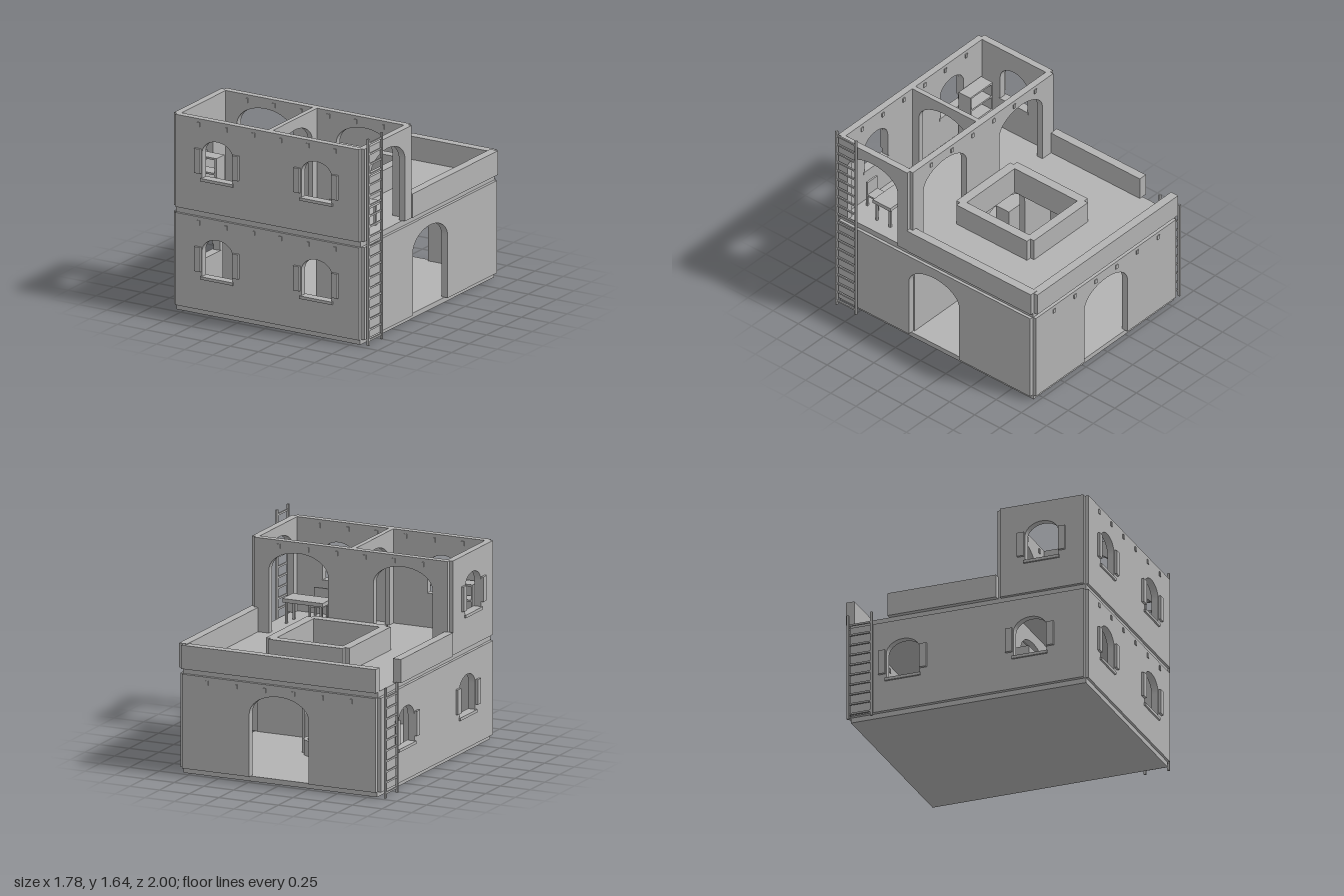
import * as THREE from 'three';

export function createModel() {
  const model = new THREE.Group();
  model.name = 'courtyardHouse';
  const plaster = new THREE.MeshStandardMaterial({ color: 0xb2b2b2 });
  plaster.name = 'plaster grey';

  const add = (name, geo, parent = model) => {
    const m = new THREE.Mesh(geo, plaster);
    m.name = name;
    parent.add(m);
    return m;
  };
  // Box given by its extents
  const box = (name, x0, x1, y0, y1, z0, z1, parent) => {
    const m = add(name, new THREE.BoxGeometry(x1 - x0, y1 - y0, z1 - z0), parent);
    m.position.set((x0 + x1) / 2, (y0 + y1) / 2, (z0 + z1) / 2);
    return m;
  };
  const group = (name) => {
    const g = new THREE.Group();
    g.name = name;
    model.add(g);
    return g;
  };

  // Wall along x or z, from depth d0 to d1, with arched doors (notches) and windows (holes).
  // Doors and windows are listed by their centre along the wall.
  const H = 0.735, DOOR = 0.25, WIN = 0.135;
  function wall(name, axis, u0, u1, y0, d0, d1, doors = [], windows = [], h = H) {
    const s = new THREE.Shape();
    s.moveTo(u0, y0);
    for (const c of doors) {
      s.lineTo(c - DOOR, y0);
      s.lineTo(c - DOOR, y0 + 0.49);
      s.absellipse(c, y0 + 0.49, DOOR, 0.16, Math.PI, 0, true);
      s.lineTo(c + DOOR, y0);
    }
    s.lineTo(u1, y0);
    s.lineTo(u1, y0 + h);
    s.lineTo(u0, y0 + h);
    s.closePath();
    for (const c of windows) {
      const p = new THREE.Path();
      p.moveTo(c - WIN, y0 + 0.265);
      p.lineTo(c + WIN, y0 + 0.265);
      p.lineTo(c + WIN, y0 + 0.47);
      p.absellipse(c, y0 + 0.47, WIN, 0.105, 0, Math.PI, false);
      p.closePath();
      s.holes.push(p);
    }
    const g = new THREE.ExtrudeGeometry(s, { depth: d1 - d0, bevelEnabled: false, curveSegments: 14 });
    if (axis === 'x') g.translate(0, 0, d0);
    else g.rotateY(-Math.PI / 2).translate(d1, 0, 0);
    add(name, g);
  }

  // Shutters and sill around a window; outward is +z before turning
  function trim(x, y0, z, turn) {
    const g = group('windowTrim');
    for (const s of [-1, 1]) {
      const c = s * 0.168;
      box('shutter', c - 0.027, c + 0.027, 0.305, 0.5, -0.005, 0.02, g);
    }
    box('sill', -0.145, 0.145, 0.245, 0.268, -0.06, 0.014, g);
    g.position.set(x, y0, z);
    g.rotation.y = turn;
  }

  // Row of six beam ends passing through a wall
  function beams(y0, z0, z1) {
    const g = group('beamEnds');
    for (let i = 0; i < 6; i++) {
      const x = -0.605 + i * 0.242;
      box('beamEnd', x - 0.013, x + 0.013, y0 + 0.672, y0 + 0.707, z0, z1, g);
    }
  }

  // Base and ground floor
  const G = 0.04, U = 0.82;
  box('basePlate', -0.815, 0.815, 0, G, -0.96, 0.955);
  wall('lowerFrontWall', 'x', -0.815, 0.815, G, 0.92, 0.975, [], [-0.44, 0.44]);
  wall('lowerBackWall', 'x', -0.815, 0.815, G, -0.985, -0.93, [0]);
  wall('lowerRightWall', 'z', -0.955, 0.945, G, -0.845, -0.79, [], [-0.525, 0.51]);
  wall('lowerLeftWall', 'z', -0.955, 0.945, G, 0.79, 0.845, [0]);
  wall('lowerInnerWall', 'x', -0.79, 0.79, G, 0.24, 0.29, [-0.24]);

  // Roof slab with the courtyard opening
  const slab = new THREE.Shape([[-0.82, -0.955], [0.82, -0.955], [0.82, 0.96], [-0.82, 0.96]]
    .map((p) => new THREE.Vector2(...p)));
  slab.holes.push(new THREE.Path([[-0.28, -0.16], [-0.28, 0.46], [0.275, 0.46], [0.275, -0.16]]
    .map((p) => new THREE.Vector2(...p))));
  add('floorSlab', new THREE.ExtrudeGeometry(slab, { depth: 0.045, bevelEnabled: false })
    .rotateX(-Math.PI / 2).translate(0, 0.775, 0));

  // Upper storey
  wall('upperFrontWall', 'x', -0.815, 0.815, U, 0.92, 0.975, [], [-0.44, 0.44]);
  wall('upperBackWall', 'x', -0.815, 0.815, U, 0.235, 0.29, [-0.44, 0.44]);
  wall('upperRightWall', 'z', 0.265, 0.945, U, -0.845, -0.79, [], [0.605]);
  wall('upperLeftWall', 'z', 0.265, 0.945, U, 0.79, 0.845, [0.61]);
  wall('partition', 'z', 0.29, 0.92, U, -0.02, 0.02, [0.605]);

  // Terrace parapet, open at the short ladder
  box('backParapet', -0.82, 0.815, U, 1.005, -1, -0.93);
  box('leftParapet', 0.78, 0.85, U, 1.01, -0.965, 0.265);
  box('rightParapet', -0.86, -0.79, U, 1.005, -0.645, 0.24);

  // Rim of the courtyard opening, with notched corners
  for (const z of [-0.535, 0.16]) box('rimEnd', -0.315, 0.31, U, 1.0, z, z + 0.075);
  for (const x of [-0.355, 0.275]) box('rimSide', x, x + 0.075, U, 1.0, -0.5, 0.2);

  // Window trims and beam ends
  for (const y of [G, U]) {
    for (const x of [-0.44, 0.44]) trim(x, y, 0.975, 0);
    beams(y, 0.912, 0.982);
  }
  trim(-0.845, G, -0.525, -Math.PI / 2);
  trim(-0.845, G, 0.51, -Math.PI / 2);
  trim(-0.845, U, 0.605, -Math.PI / 2);
  beams(G, -0.992, -0.922);
  beams(U, 0.228, 0.297);

  // Ladders
  function ladder(name, x, z0, z1, top, rungs) {
    const g = group(name);
    for (const z of [z0, z1 - 0.018]) box('rail', x - 0.008, x + 0.008, 0, top, z, z + 0.018, g);
    for (let i = 0; i < rungs; i++) {
      const y = 0.04 + i * 0.082;
      box('rung', x - 0.006, x + 0.006, y - 0.007, y + 0.007, z0 + 0.01, z1 - 0.01, g);
    }
  }
  ladder('tallLadder', 0.876, 0.738, 0.947, 1.64, 20);
  ladder('shortLadder', -0.884, -0.965, -0.755, 0.86, 10);

  // Well in the courtyard
  const ring = [[0.07, 0], [0.1, 0], [0.1, 0.12], [0.07, 0.12], [0.07, 0]];
  const pts = ring.flatMap((p, i) => (i && i < 4 ? [p, p] : [p])).map((p) => new THREE.Vector2(...p));
  add('wellRing', new THREE.LatheGeometry(pts, 28)).position.set(0.09, G, -0.155);
  for (const x of [-0.03, 0.19]) box('wellPost', x, x + 0.02, G, 0.465, -0.167, -0.143);
  box('wellBar', -0.05, 0.23, 0.46, 0.49, -0.172, -0.142);

  // Table and chair
  function legs(parent, x0, x1, z0, z1, top, w) {
    for (const x of [x0, x1 - w]) for (const z of [z0, z1 - w]) box('leg', x, x + w, U, top, z, z + w, parent);
  }
  const table = group('table');
  box('tableTop', 0.385, 0.725, 0.985, 1.015, 0.535, 0.71, table);
  legs(table, 0.4, 0.71, 0.548, 0.697, 0.985, 0.017);
  const chair = group('chair');
  box('seat', 0.5, 0.615, 0.91, 0.925, 0.755, 0.87, chair);
  box('chairBack', 0.5, 0.615, 0.925, 1.04, 0.855, 0.87, chair);
  legs(chair, 0.5, 0.615, 0.755, 0.87, 0.91, 0.015);

  // Open shelf
  const shelf = group('openShelf');
  for (const x of [-0.755, -0.51]) box('shelfSide', x, x + 0.015, U, 1.235, 0.785, 0.9, shelf);
  for (const y of [0.86, 0.975, 1.1, 1.22]) box('shelfBoard', -0.755, -0.495, y, y + 0.015, 0.785, 0.9, shelf);

  // Ground-floor furniture
  box('lowCupboard', -0.72, -0.4, G, 0.44, 0.32, 0.45);
  box('sideCupboard', 0.485, 0.74, G, 0.42, 0.32, 0.45);

  return model;
}
